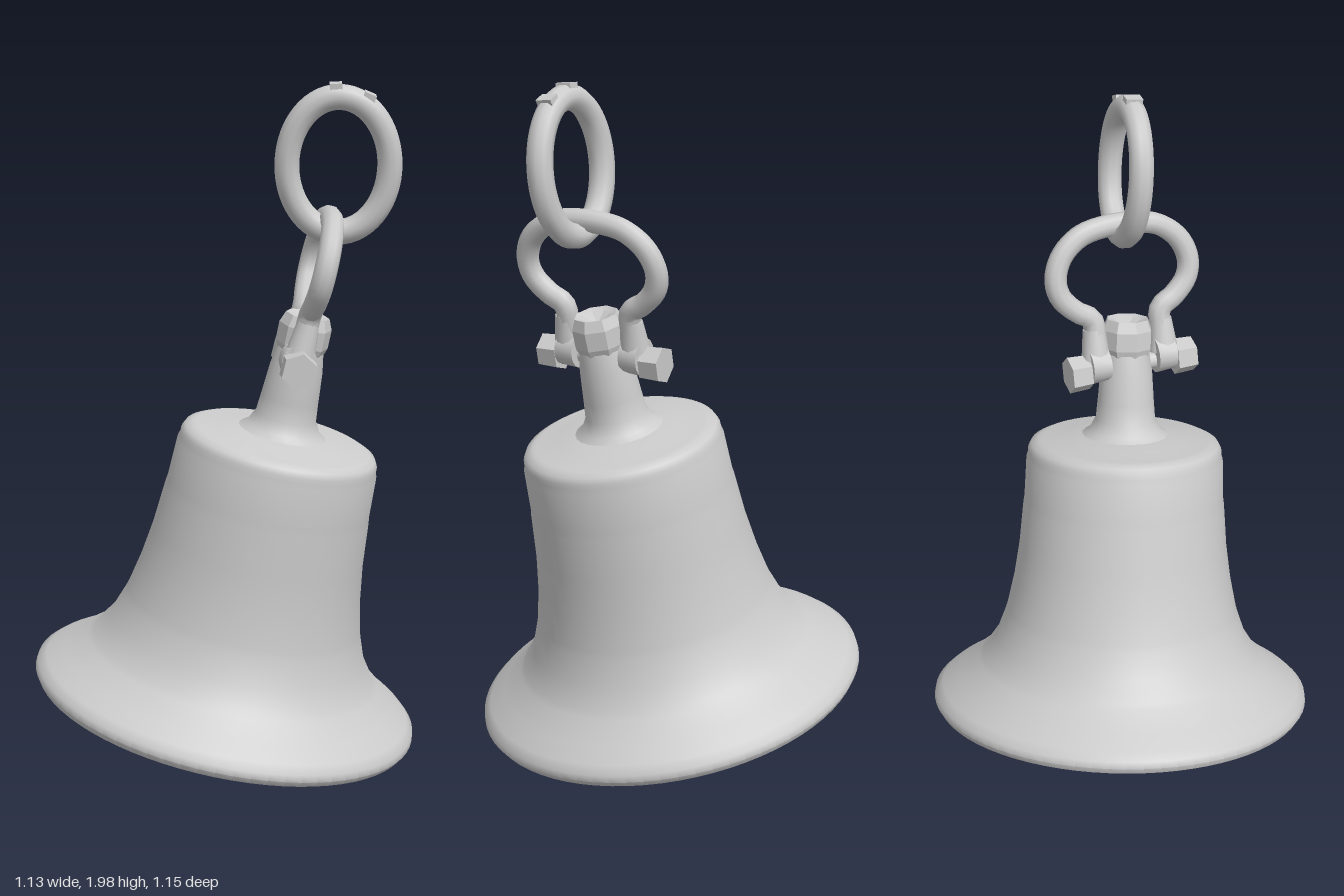
import * as THREE from 'three';
import { toCreasedNormals } from 'three/addons/utils/BufferGeometryUtils.js';

const material = new THREE.MeshStandardMaterial({ color: 0xcccccc });

function addMesh(parent, name, geometry, crease = 0.7) {
  const mesh = new THREE.Mesh(toCreasedNormals(geometry, crease), material);
  mesh.name = name;
  parent.add(mesh);
  return mesh;
}

const lathe = (points, segments) =>
  new THREE.LatheGeometry(points.map(([r, y]) => new THREE.Vector2(r, y)), segments);

export function createModel() {
  const model = new THREE.Group();
  model.name = 'hangingBell';

  // Bell and stem share one tilted axis rising from the centre of the mouth
  const axis = new THREE.Vector3(0.2, 1, 0.1).normalize();
  const tilted = new THREE.Group();
  tilted.name = 'tiltedBell';
  tilted.position.set(0, 0.14, 0);
  tilted.quaternion.setFromUnitVectors(new THREE.Vector3(0, 1, 0), axis);
  model.add(tilted);

  // Hollow body: inner wall down to the lip, then outer wall up to the crown
  addMesh(tilted, 'bellBody', lathe([
    [0, 0.8], [0.2, 0.79], [0.255, 0.75], [0.272, 0.6], [0.295, 0.42], [0.335, 0.27],
    [0.39, 0.17], [0.47, 0.085], [0.535, 0.02], [0.55, 0.002], [0.565, 0.004],
    [0.576, 0.022], [0.573, 0.042], [0.55, 0.063], [0.5, 0.095], [0.44, 0.145], [0.425, 0.16],
    [0.385, 0.22], [0.358, 0.295], [0.352, 0.315], [0.332, 0.41], [0.316, 0.52], [0.305, 0.65],
    [0.302, 0.67], [0.297, 0.79], [0.292, 0.805], [0.292, 0.82], [0.283, 0.837], [0.262, 0.847],
    [0.25, 0.848], [0.18, 0.858], [0.12, 0.868], [0, 0.87],
  ], 72));

  // Stem with a flared foot and a faceted, slightly dished head
  addMesh(tilted, 'stem', lathe([
    [0.14, 0.86], [0.108, 0.88], [0.09, 0.915], [0.085, 0.97], [0.078, 1.06], [0.068, 1.12],
  ], 24));
  addMesh(tilted, 'stemHead', lathe([
    [0.068, 1.11], [0.077, 1.135], [0.077, 1.19], [0.064, 1.222], [0.045, 1.215], [0, 1.19],
  ], 8), 0.3);

  // Shackle leans with the stem and lies across it, front to back
  const shackle = new THREE.Group();
  shackle.name = 'shackle';
  shackle.position.set(0.2, 1.2, 0.115);
  shackle.rotation.z = -0.24;
  model.add(shackle);
  const half = [[0.1, 0.02], [0.103, 0.1], [0.11, 0.155], [0.155, 0.185], [0.2, 0.235],
    [0.21, 0.29], [0.185, 0.355], [0.125, 0.405], [0.05, 0.423]];
  const bow = [...half, ...half.map(([z, y]) => [-z, y]).reverse()]
    .map(([z, y]) => new THREE.Vector3(0, y, z));
  addMesh(shackle, 'shackleBow',
    new THREE.TubeGeometry(new THREE.CatmullRomCurve3(bow), 72, 0.033, 10), 1);

  const pin = addMesh(shackle, 'shacklePin', new THREE.CylinderGeometry(0.026, 0.026, 0.34, 12));
  pin.rotation.x = Math.PI / 2;
  for (const side of [1, -1]) {
    const lug = addMesh(shackle, 'shackleLug', new THREE.CylinderGeometry(0.05, 0.055, 0.06, 14));
    lug.rotation.x = Math.PI / 2;
    lug.position.set(0, 0.015, side * 0.105);
    // Neck widening from the bow into the lug
    const neck = addMesh(shackle, 'shackleNeck', new THREE.CylinderGeometry(0.032, 0.045, 0.1, 12));
    neck.position.set(0, 0.075, side * 0.108);
    const nut = addMesh(shackle, 'boltHead', new THREE.CylinderGeometry(0.052, 0.055, 0.062, 6), 0.3);
    nut.rotation.x = Math.PI / 2;
    nut.position.set(0, -0.002, side * 0.168);
  }

  // Oval hanging ring, threaded through the shackle bow
  const ring = new THREE.Group();
  ring.name = 'hangingRing';
  ring.position.set(0.32, 1.765, 0.145);
  ring.rotation.set(0.09, -0.08, 0);
  model.add(ring);
  const oval = [];
  for (let i = 0; i < 24; i++) {
    const a = (i / 24) * Math.PI * 2;
    oval.push(new THREE.Vector3(0.146 * Math.cos(a), 0.193 * Math.sin(a), 0));
  }
  addMesh(ring, 'ringLoop',
    new THREE.TubeGeometry(new THREE.CatmullRomCurve3(oval, true), 64, 0.037, 10, true), 1);
  // Worn ridges on the ring's top
  for (const [x, y, tilt] of [[-0.01, 0.212, 0.05], [0.08, 0.185, -0.4]]) {
    const ridge = addMesh(ring, 'ringRidge', new THREE.BoxGeometry(0.035, 0.042, 0.05));
    ridge.position.set(x, y, 0);
    ridge.rotation.z = tilt;
  }

  return model;
}
